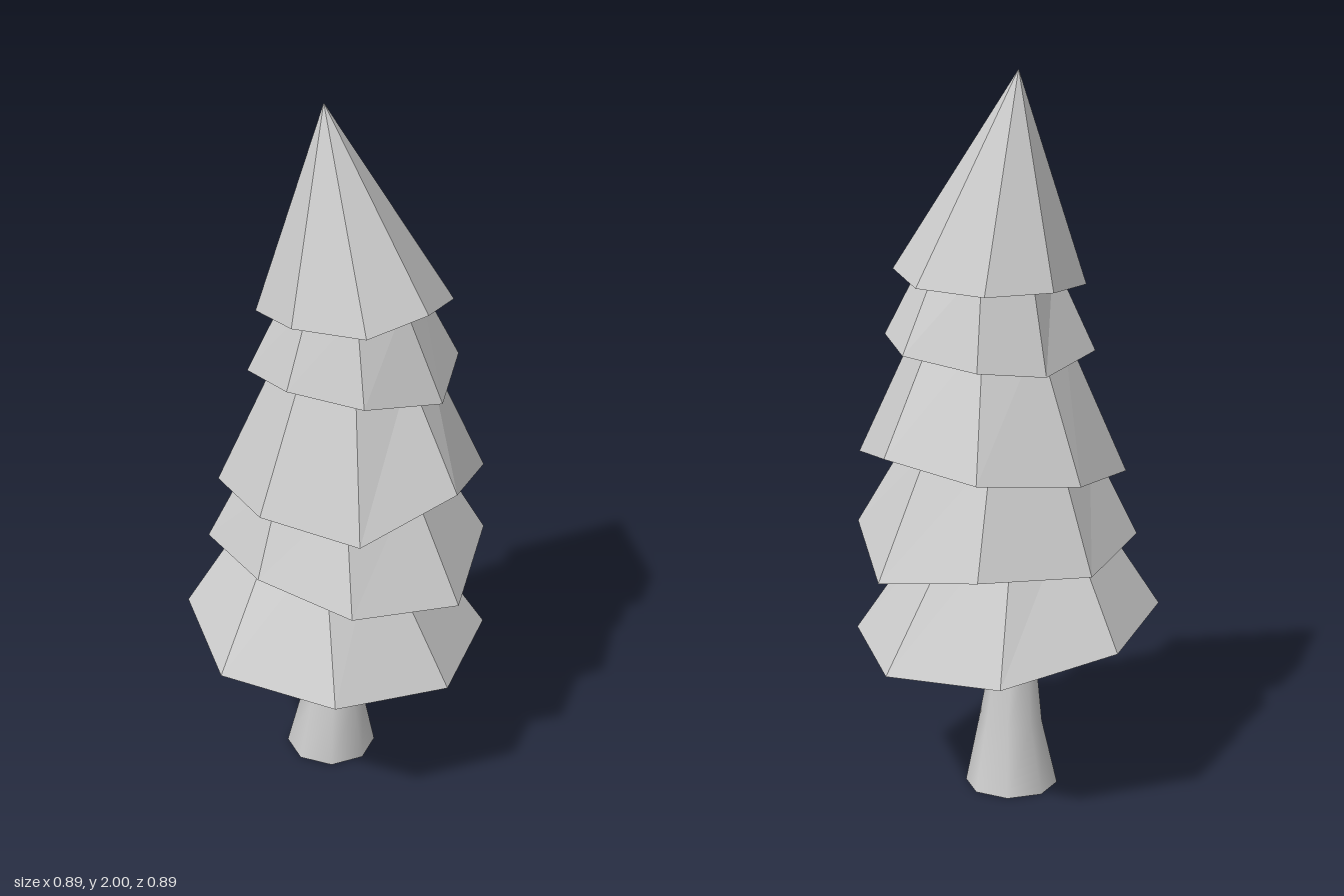
import * as THREE from 'three';

const SIDES = 8;

// Eight points of a level ring, counter-clockwise seen from above, starting at +x
function ring(x, y, z, r) {
  return Array.from({ length: SIDES }, (_, i) => {
    const a = (i / SIDES) * Math.PI * 2;
    return [x + r * Math.cos(a), y, z - r * Math.sin(a)];
  });
}

// Skin between rings listed from bottom to top
function loft(rings) {
  const index = [];
  for (let k = 0; k < rings.length - 1; k++) {
    for (let i = 0; i < SIDES; i++) {
      const j = (i + 1) % SIDES;
      const a = k * SIDES + i, b = k * SIDES + j;
      index.push(a, b, b + SIDES, a, b + SIDES, a + SIDES);
    }
  }
  return build(rings.flat(), index);
}

// Fan closing a ring, facing down or up
function cap(points, up) {
  const mid = [0, 1, 2].map((c) => points.reduce((s, p) => s + p[c], 0) / SIDES);
  const index = [];
  for (let i = 0; i < SIDES; i++) {
    const j = (i + 1) % SIDES;
    if (up) index.push(SIDES, i, j);
    else index.push(SIDES, j, i);
  }
  return build([...points, mid], index);
}

function build(points, index) {
  const g = new THREE.BufferGeometry();
  g.setAttribute('position', new THREE.Float32BufferAttribute(points.flat(), 3));
  g.setIndex(index);
  g.computeVertexNormals();
  return g;
}

// Uneven rim corners [x, y, z] of each tier, and its narrow top [x, y, z, radius]
const TIERS = [
  {
    rim: [[0.437, 0.43, 0], [0.295, 0.44, -0.317], [0, 0.4, -0.437], [-0.323, 0.42, -0.305],
      [-0.445, 0.485, 0], [-0.297, 0.53, 0.295], [-0.003, 0.48, 0.443], [0.308, 0.455, 0.313]],
    top: [-0.035, 0.82, 0.005, 0.2],
  },
  {
    rim: [[0.443, 0.69, -0.028], [0.285, 0.755, -0.315], [0.017, 0.66, -0.445], [-0.255, 0.7, -0.325],
      [-0.38, 0.69, -0.036], [-0.264, 0.735, 0.238], [0.033, 0.755, 0.33], [0.307, 0.71, 0.248]],
    top: [0.01, 1.0, -0.03, 0.25],
  },
  {
    rim: [[0.405, 1.01, -0.052], [0.28, 0.955, -0.31], [0.012, 1.0, -0.424], [-0.25, 0.96, -0.324],
      [-0.355, 0.935, -0.055], [-0.245, 0.915, 0.212], [0.026, 0.94, 0.312], [0.3, 0.915, 0.212]],
    top: [0.03, 1.31, -0.045, 0.2],
  },
  {
    rim: [[0.312, 1.235, -0.09], [0.212, 1.29, -0.267], [0.026, 1.265, -0.348], [-0.17, 1.235, -0.255],
      [-0.248, 1.215, -0.083], [-0.183, 1.25, 0.15], [0.03, 1.28, 0.21], [0.23, 1.265, 0.125]],
    top: [0.03, 1.5, -0.05, 0.175],
  },
  {
    rim: [[0.295, 1.5, -0.045], [0.22, 1.465, -0.231], [0.026, 1.44, -0.302], [-0.16, 1.43, -0.221],
      [-0.24, 1.435, -0.052], [-0.16, 1.43, 0.136], [0.03, 1.455, 0.19], [0.224, 1.46, 0.112]],
    top: [-0.036, 2, 0, 0.001],
  },
];

export function createModel() {
  const model = new THREE.Group();
  model.name = 'pineTree';
  const flat = new THREE.MeshStandardMaterial({ color: 0xcccccc, flatShading: true });
  const smooth = new THREE.MeshStandardMaterial({ color: 0xcccccc });

  const add = (parent, name, geometry, material) => {
    const mesh = new THREE.Mesh(geometry, material);
    mesh.name = name;
    parent.add(mesh);
  };

  // Foliage: five faceted, tilted tiers with closed undersides
  TIERS.forEach(({ rim, top }, i) => {
    const tier = new THREE.Group();
    tier.name = `foliageTier${i + 1}`;
    const upper = ring(...top);
    add(tier, 'branches', loft([rim, upper]), flat);
    add(tier, 'underside', cap(rim, false), flat);
    add(tier, 'tierTop', cap(upper, true), flat);
    model.add(tier);
  });

  // Trunk: flared base, bending towards +x as it enters the foliage
  const trunk = new THREE.Group();
  trunk.name = 'trunk';
  const rings = [
    ring(-0.037, 0, -0.025, 0.13),
    ring(-0.026, 0.18, -0.02, 0.09),
    ring(-0.039, 0.37, -0.02, 0.064),
    ring(-0.012, 0.49, -0.02, 0.056),
    ring(0.01, 0.58, -0.02, 0.05),
  ];
  add(trunk, 'bark', loft(rings), smooth);
  add(trunk, 'trunkBase', cap(rings[0], false), flat);
  model.add(trunk);

  return model;
}
